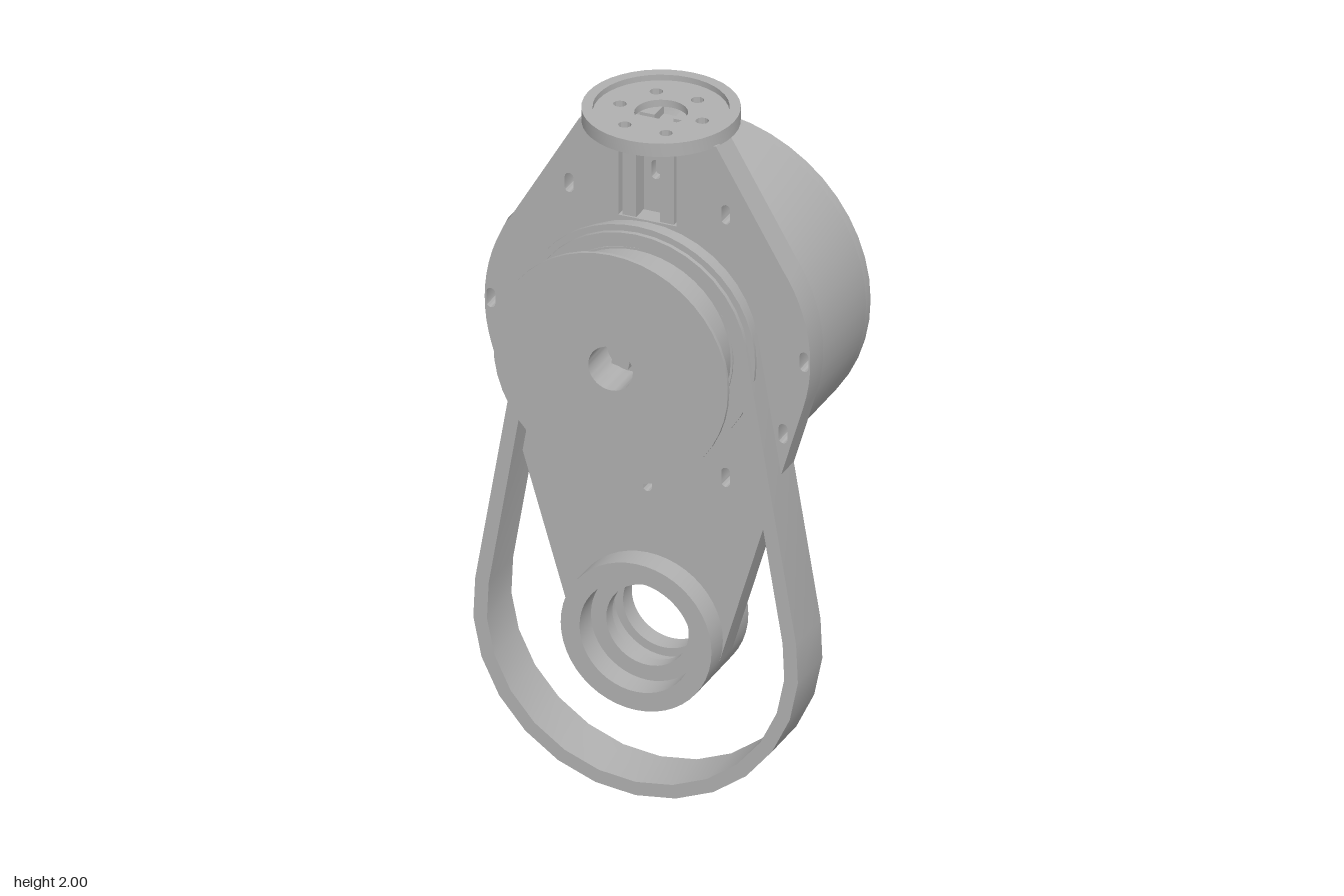
import * as THREE from 'three';
import { toCreasedNormals } from 'three/addons/utils/BufferGeometryUtils.js';

const AXIS = 1.37; // height of the motor axis
const HUB = 0.48;  // height of the lower bearing

export function createModel() {
  const model = new THREE.Group();
  model.name = 'beltDriveActuator';
  const grey = new THREE.MeshStandardMaterial({ color: 0xb0b0b0 });
  grey.name = 'machined grey';

  const add = (name, geo) => {
    const mesh = new THREE.Mesh(geo, grey);
    mesh.name = name;
    model.add(mesh);
    return mesh;
  };
  const box = (name, w, h, d, x, y, z) =>
    add(name, new THREE.BoxGeometry(w, h, d).translate(x, y, z));

  // points on an arc, angles in degrees
  const arc = (cx, cy, r, a0, a1, n) => Array.from({ length: n + 1 }, (_, i) => {
    const a = THREE.MathUtils.degToRad(a0 + (a1 - a0) * i / n);
    return new THREE.Vector2(cx + r * Math.cos(a), cy + r * Math.sin(a));
  });
  const circle = (cx, cy, r, n = 16) => new THREE.Path(arc(cx, cy, r, 0, 360, n).slice(0, -1));
  const slot = (cx, cy, r, h) => new THREE.Path([
    ...arc(cx, cy + h / 2 - r, r, 0, 180, 6), ...arc(cx, cy - h / 2 + r, r, 180, 360, 6)]);
  const ring = (n, r, visit) => {
    for (let i = 0; i < n; i++) {
      const a = i / n * Math.PI * 2;
      visit(r * Math.cos(a), r * Math.sin(a));
    }
  };
  // shape in xy pushed from z0 to z1
  const extrude = (points, holes, z0, z1) => {
    const shape = new THREE.Shape(points);
    shape.holes = holes;
    const geo = new THREE.ExtrudeGeometry(shape, { depth: z1 - z0, bevelEnabled: false });
    return toCreasedNormals(geo.translate(0, 0, z0), 0.3);
  };
  // profile of [radius, z] turned about the z axis
  const turn = (profile, y, n = 48) => {
    const geo = new THREE.LatheGeometry(profile.map(p => new THREE.Vector2(...p)), n);
    return toCreasedNormals(geo.rotateX(Math.PI / 2).translate(0, y, 0), 0.4);
  };
  const tangent = (rTop, rLow) =>
    THREE.MathUtils.radToDeg(Math.asin((rLow - rTop) / (AXIS - HUB)));

  // mounting plate: shoulders, round middle, tapering arm
  const t = tangent(0.475, 0.22);
  const outline = [
    new THREE.Vector2(0.2, 1.965),
    new THREE.Vector2(-0.2, 1.965),
    ...arc(0, AXIS, 0.475, 146, 180 - t, 12),
    ...arc(0, HUB, 0.22, 180 - t, 360 + t, 20),
    ...arc(0, AXIS, 0.475, t, 34, 12),
  ];
  const slots = [];
  ring(12, 0.457, (x, y) => {
    if (Math.abs(x) > 0.01 || y < 0) slots.push(slot(x, AXIS + y, 0.013, 0.058));
  });
  const channel = new THREE.Path([[-0.085, 1.7], [0.085, 1.7], [0.085, 1.945], [-0.085, 1.945]]
    .map(p => new THREE.Vector2(...p)));
  add('mountingPlate', extrude(outline, [...slots, channel, circle(0, HUB, 0.14, 32)], 0.045, 0.13));

  // ribbed channel below the top flange
  const floor = [[-0.085, 1.7], [0.085, 1.7], [0.085, 1.945], [-0.085, 1.945]]
    .map(p => new THREE.Vector2(...p));
  add('channelFloor', extrude(floor, [slot(0, 1.827, 0.013, 0.058)], 0.045, 0.075));
  for (const s of [-1, 1]) {
    box('channelRib', 0.04, 0.245, 0.05, s * 0.055, 1.823, 0.1);
    box('flangePost', 0.045, 0.1, 0.06, s * 0.05, 1.91, -0.01);
  }
  box('postBridge', 0.14, 0.07, 0.085, 0, 1.9, 0.003);

  // top output flange with raised rim
  const boltHoles = [];
  ring(6, 0.12, (x, y) => boltHoles.push(circle(x, y, 0.018, 12)));
  const disc = r => arc(0, 0, r, 0, 360, 40).slice(0, -1);
  const lay = geo => geo.rotateX(-Math.PI / 2).translate(0, 0, 0.04);
  add('flangeFloor', lay(extrude(disc(0.185), [...boltHoles, circle(0, 0, 0.072, 28)], 1.962, 1.983)));
  add('flangeRim', lay(extrude(disc(0.213), [circle(0, 0, 0.183, 40)], 1.96, 2)));

  // belt: a loop round the pulley and a wide lower bend
  const loop = (rTop, rLow) => {
    const a = tangent(rTop, rLow);
    return [...arc(0, AXIS, rTop, a, 180 - a, 18), ...arc(0, HUB, rLow, 180 - a, 360 + a, 14)];
  };
  add('belt', extrude(loop(0.325, 0.475), [new THREE.Path(loop(0.285, 0.435))], 0.047, 0.208));

  // pulley with front flange, bore and inner guide ring
  add('pulley', turn([[0, 0.12], [0.28, 0.12], [0.28, 0.2], [0.274, 0.2], [0.274, 0.362], [0.342, 0.362],
    [0.342, 0.373], [0.065, 0.373], [0.065, 0.25], [0, 0.25]], AXIS));
  add('guideRing', turn([[0.27, 0.185], [0.343, 0.185], [0.343, 0.195], [0.27, 0.195], [0.27, 0.185]], AXIS));
  const shaft = box('driveShaft', 0.05, 0.06, 0.06, 0, 0, 0);
  shaft.position.set(0, AXIS, 0.27);
  shaft.rotation.z = -0.2;

  // lower bearing housing, stepped bore
  add('bearingHousing', turn([[0.12, -0.038], [0.22, -0.038], [0.22, 0.205], [0.165, 0.205], [0.165, 0.13],
    [0.12, 0.13], [0.12, 0.09], [0.145, 0.09], [0.145, 0.02], [0.12, 0.02], [0.12, -0.038]], HUB));

  // motor body, then a drilled ring closing its back
  add('motorBody', turn([[0, -0.24], [0.474, -0.24], [0.474, 0.045], [0, 0.045]], AXIS));
  const ringHoles = [];
  ring(12, 0.425, (x, y) => ringHoles.push(circle(x, AXIS + y, 0.013, 10)));
  add('motorBackRing', extrude(arc(0, AXIS, 0.474, 0, 360, 48).slice(0, -1), ringHoles, -0.27, -0.24));

  // rear cover with a cable notch on one side and a connector recess on the other
  const cover = [
    ...arc(0, 0, 0.37, 10, 120, 18),
    ...[[-0.305, 0.2], [-0.305, 0.12], [-0.18, 0.12], [-0.18, 0.01]].map(p => new THREE.Vector2(...p)),
    ...arc(0, 0, 0.37, 179, 322, 24),
    ...[[0.275, -0.228], [0.275, 0.064]].map(p => new THREE.Vector2(...p)),
  ].map(p => p.add(new THREE.Vector2(0, AXIS)));
  const coverHoles = [75, 105, 235, 305].map(a => {
    const p = arc(0, AXIS, 0.335, a, a, 1)[0];
    return circle(p.x, p.y, 0.013, 10);
  });
  add('rearCover', extrude(cover, [], -0.35, -0.265));
  add('rearCoverFace', extrude(cover, coverHoles, -0.376, -0.35));
  add('cable', new THREE.CylinderGeometry(0.028, 0.028, 0.28, 20)
    .rotateZ(Math.PI / 2).translate(-0.312, AXIS + 0.065, -0.32));

  // connectors in the recess
  box('connectorBoard', 0.03, 0.28, 0.06, 0.285, 1.285, -0.3);
  for (const [y, h] of [[1.365, 0.055], [1.205, 0.085]]) {
    box('connector', 0.035, h, 0.04, 0.29, y, -0.35);
    for (let i = -1; i <= 1; i++) box('connectorPin', 0.012, 0.01, 0.025, 0.31, y + i * h * 0.3, -0.35);
  }
  return model;
}
